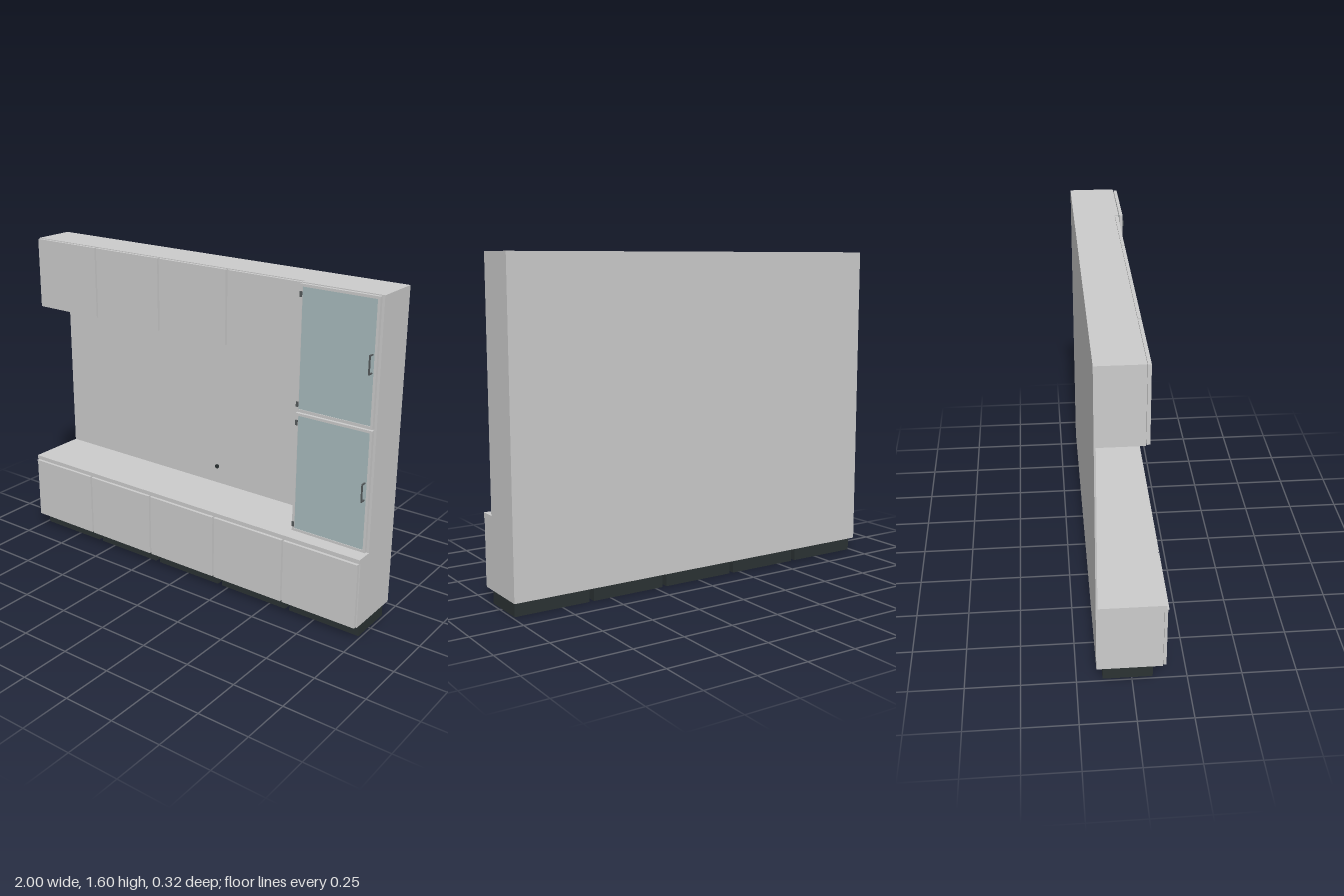
import * as THREE from 'three';

const grey = new THREE.MeshStandardMaterial({ color: 0xcccccc });
const dark = new THREE.MeshStandardMaterial({ color: 0x2b3233 });
const metal = new THREE.MeshStandardMaterial({ color: 0x555a5c });
const glass = new THREE.MeshStandardMaterial({ color: 0xa9bcbe });

// Box given by its lower and upper limits on each axis
function box(parent, name, [x0, x1], [y0, y1], [z0, z1], material = grey) {
  const mesh = new THREE.Mesh(new THREE.BoxGeometry(x1 - x0, y1 - y0, z1 - z0), material);
  mesh.position.set((x0 + x1) / 2, (y0 + y1) / 2, (z0 + z1) / 2);
  mesh.name = name;
  parent.add(mesh);
  return mesh;
}

// Framed glass door with hinges on its right and a bar handle on its left
function glassDoor(name, [x0, x1], [y0, y1], handleY) {
  const door = new THREE.Group();
  door.name = name;
  const rim = 0.012, z0 = 0.07, z1 = 0.086;
  const outline = new THREE.Shape([
    new THREE.Vector2(x0, y0), new THREE.Vector2(x1, y0),
    new THREE.Vector2(x1, y1), new THREE.Vector2(x0, y1)]);
  outline.holes.push(new THREE.Path([
    new THREE.Vector2(x0 + rim, y0 + rim), new THREE.Vector2(x0 + rim, y1 - rim),
    new THREE.Vector2(x1 - rim, y1 - rim), new THREE.Vector2(x1 - rim, y0 + rim)]));
  const frame = new THREE.Mesh(
    new THREE.ExtrudeGeometry(outline, { depth: z1 - z0, bevelEnabled: false }), grey);
  frame.position.z = z0;
  frame.name = 'doorFrame';
  door.add(frame);
  box(door, 'glassPane', [x0 + rim, x1 - rim], [y0 + rim, y1 - rim], [z0 + 0.003, z1 - 0.003], glass);

  for (const y of [y0 + 0.035, y1 - 0.045]) {
    box(door, 'hinge', [x0 + 0.002, x0 + 0.012], [y - 0.012, y + 0.012], [z1, z1 + 0.006], metal);
  }

  const hx = x1 - 0.022, half = 0.044;
  box(door, 'handleBar', [hx - 0.003, hx + 0.003], [handleY - half, handleY + half], [0.104, 0.11], metal);
  for (const y of [handleY - half + 0.003, handleY + half - 0.003]) {
    box(door, 'handlePost', [hx - 0.003, hx + 0.003], [y - 0.003, y + 0.003], [z1 - 0.003, 0.106], metal);
  }
  return door;
}

export function createModel() {
  const unit = new THREE.Group();
  unit.name = 'wallUnit';
  const back = -0.16, gap = 0.005, width = 0.4;

  // Base row: plinth, carcass and door for each module, under one worktop
  for (let i = 0; i < 5; i++) {
    const x0 = -1 + i * width, x1 = x0 + width;
    const module = new THREE.Group();
    module.name = 'baseCabinet';
    box(module, 'plinth', [x0 + 0.012, x1 - 0.012], [0, 0.07], [-0.132, 0.095], dark);
    box(module, 'carcass', [x0, x1], [0.07, 0.4], [back, 0.139]);
    box(module, 'door', [x0 + gap, x1 - gap], [0.072, 0.397], [0.141, 0.155]);
    box(module, 'fingerPull', [x0 + gap, x1 - gap], [0.391, 0.397], [0.155, 0.16]);
    unit.add(module);
  }
  box(unit, 'worktop', [-1, 1], [0.4, 0.42], [back, 0.15]);

  // Back panel between the base and the wall cabinets
  box(unit, 'backPanel', [-1, 0.6], [0.42, 1.24], [back, -0.152]);

  // Wall cabinets
  for (let i = 0; i < 4; i++) {
    const x0 = -1 + i * width, x1 = x0 + width;
    const module = new THREE.Group();
    module.name = 'wallCabinet';
    box(module, 'carcass', [x0, x1], [1.24, 1.6], [back, 0.045]);
    box(module, 'door', [x0 + gap, x1 - gap], [1.242, 1.597], [0.047, 0.062]);
    unit.add(module);
  }

  // Tall cabinet with two glass doors
  box(unit, 'tallCabinet', [0.6, 1], [0.42, 1.6], [back, 0.066]);
  unit.add(glassDoor('lowerGlassDoor', [0.605, 0.99], [0.425, 1.008], 0.72));
  unit.add(glassDoor('upperGlassDoor', [0.605, 0.99], [1.016, 1.597], 1.305));
  box(unit, 'doorSpacer', [0.62, 0.98], [0.45, 1.57], [0.066, 0.071]);

  // Cable outlet in the back panel
  const outlet = new THREE.Mesh(new THREE.CylinderGeometry(0.011, 0.011, 0.008, 24), dark);
  outlet.rotation.x = Math.PI / 2;
  outlet.position.set(0, 0.51, -0.15);
  outlet.name = 'cableOutlet';
  unit.add(outlet);

  return unit;
}
